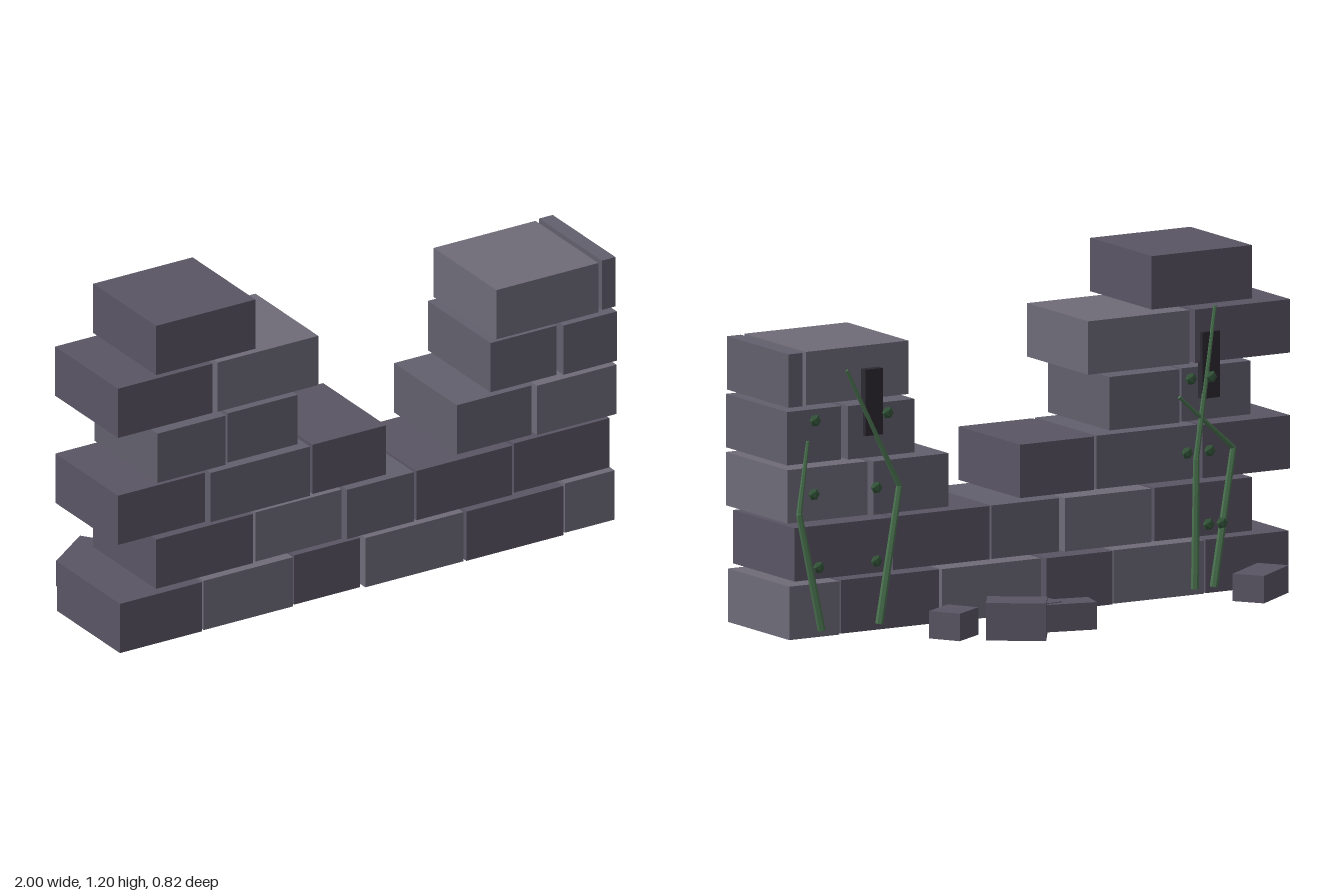
import * as THREE from 'three';

const mat = (color) => new THREE.MeshStandardMaterial({ color, flatShading: true });
const STONE = { d: mat(0x5a5564), m: mat(0x625f6c), l: mat(0x6e6b78) };
const CRACK = mat(0x2c2a32);
const VINE = mat(0x4a7350);
const LEAF = mat(0x35573c);

function add(parent, name, geometry, material, x, y, z) {
  const mesh = new THREE.Mesh(geometry, material);
  mesh.name = name;
  mesh.position.set(x, y, z);
  parent.add(mesh);
  return mesh;
}

// Courses from the ground up: [left edge, right edge, shade]
const COURSES = [
  [[-1, -0.67, 'd'], [-0.66, -0.3, 'l'], [-0.29, -0.025, 'd'], [-0.01, 0.385, 'l'], [0.395, 0.785, 'd'], [0.8, 1, 'l']],
  [[-0.85, -0.46, 'd'], [-0.445, -0.1, 'l'], [-0.085, 0.185, 'm'], [0.195, 0.58, 'd'], [0.595, 0.98, 'd']],
  [[-1, -0.65, 'd'], [-0.635, -0.235, 'm'], [-0.22, 0.075, 'd'], [0.365, 0.665, 'm'], [0.68, 1, 'l']],
  [[-0.85, -0.575, 'm'], [-0.56, -0.28, 'm'], [0.5, 0.765, 'm'], [0.785, 1, 'm']],
  [[-1, -0.62, 'd'], [-0.6, -0.195, 'l'], [0.515, 0.925, 'l'], [0.945, 1, 'm']],
  [[-0.85, -0.45, 'd']],
];

// Fallen bricks: [x, y, z, length, height, width, turn]
const RUBBLE = [
  [-0.78, 0.067, -0.175, 0.22, 0.095, 0.115, 0.63],
  [0.1, 0.067, -0.335, 0.2, 0.095, 0.1, -0.23],
  [0.19, 0.067, -0.29, 0.14, 0.1, 0.12, 0.06],
  [0.27, 0.065, -0.3, 0.205, 0.13, 0.13, -0.58],
  [0.5, 0.067, -0.265, 0.14, 0.095, 0.118, 0.55],
];

// Vine stems, as x, y points on the back of the wall
const STEMS = [
  [[0.88, 0.04], [0.97, 0.45], [0.935, 0.7]],
  [[0.65, 0.04], [0.57, 0.51], [0.78, 0.93]],
  [[-0.61, 0.04], [-0.615, 0.49], [-0.69, 1.015]],
  [[-0.685, 0.04], [-0.763, 0.515], [-0.547, 0.71]],
];

// Leaf buds: a height and the x positions along it
const LEAVES = [
  [0.26, [0.895, 0.665, -0.66, -0.714]],
  [0.515, [0.915, 0.665, -0.575, -0.665]],
  [0.77, [0.91, 0.62, -0.59, -0.67]],
];

function stemSegment(parent, a, b, r0, r1) {
  const dir = b.clone().sub(a);
  const mid = a.clone().add(b).multiplyScalar(0.5);
  const mesh = add(parent, 'vineStem', new THREE.CylinderGeometry(r1, r0, dir.length(), 6), VINE, mid.x, mid.y, mid.z);
  mesh.quaternion.setFromUnitVectors(new THREE.Vector3(0, 1, 0), dir.normalize());
}

export function createModel() {
  const model = new THREE.Group();
  model.name = 'ruinedWall';

  // Brick courses, each brick slightly shifted in depth
  const wall = new THREE.Group();
  wall.name = 'brickCourses';
  COURSES.forEach((course, row) => course.forEach(([x0, x1, shade], i) => {
    const shift = 0.008 * Math.sin(row * 2.3 + i * 1.9 + 1);
    add(wall, 'brick', new THREE.BoxGeometry(x1 - x0, 0.185, 0.402), STONE[shade],
      (x0 + x1) / 2, 0.107 + row * 0.201, 0.199 + shift);
  }));
  model.add(wall);

  // Rubble behind the wall
  const rubble = new THREE.Group();
  rubble.name = 'rubble';
  for (const [x, y, z, l, h, w, turn] of RUBBLE) {
    add(rubble, 'fallenBrick', new THREE.BoxGeometry(l, h, w), STONE.d, x, y, z).rotation.y = turn;
  }
  model.add(rubble);

  // Dark cracks on the back face
  for (const x of [-0.675, 0.67]) {
    add(model, 'crack', new THREE.BoxGeometry(0.07, 0.23, 0.03), CRACK, x, 0.81, -0.008);
  }

  // Climbing vines, thinner towards the tip
  const vines = new THREE.Group();
  vines.name = 'vines';
  for (const stem of STEMS) {
    const [a, b, c] = stem.map(([x, y]) => new THREE.Vector3(x, y, -0.024));
    stemSegment(vines, a, b, 0.014, 0.011);
    stemSegment(vines, b, c, 0.01, 0.006);
  }
  for (const [y, xs] of LEAVES) {
    for (const x of xs) {
      add(vines, 'leaf', new THREE.IcosahedronGeometry(0.022, 0), LEAF, x, y, -0.031).scale.z = 0.65;
    }
  }
  model.add(vines);
  return model;
}
